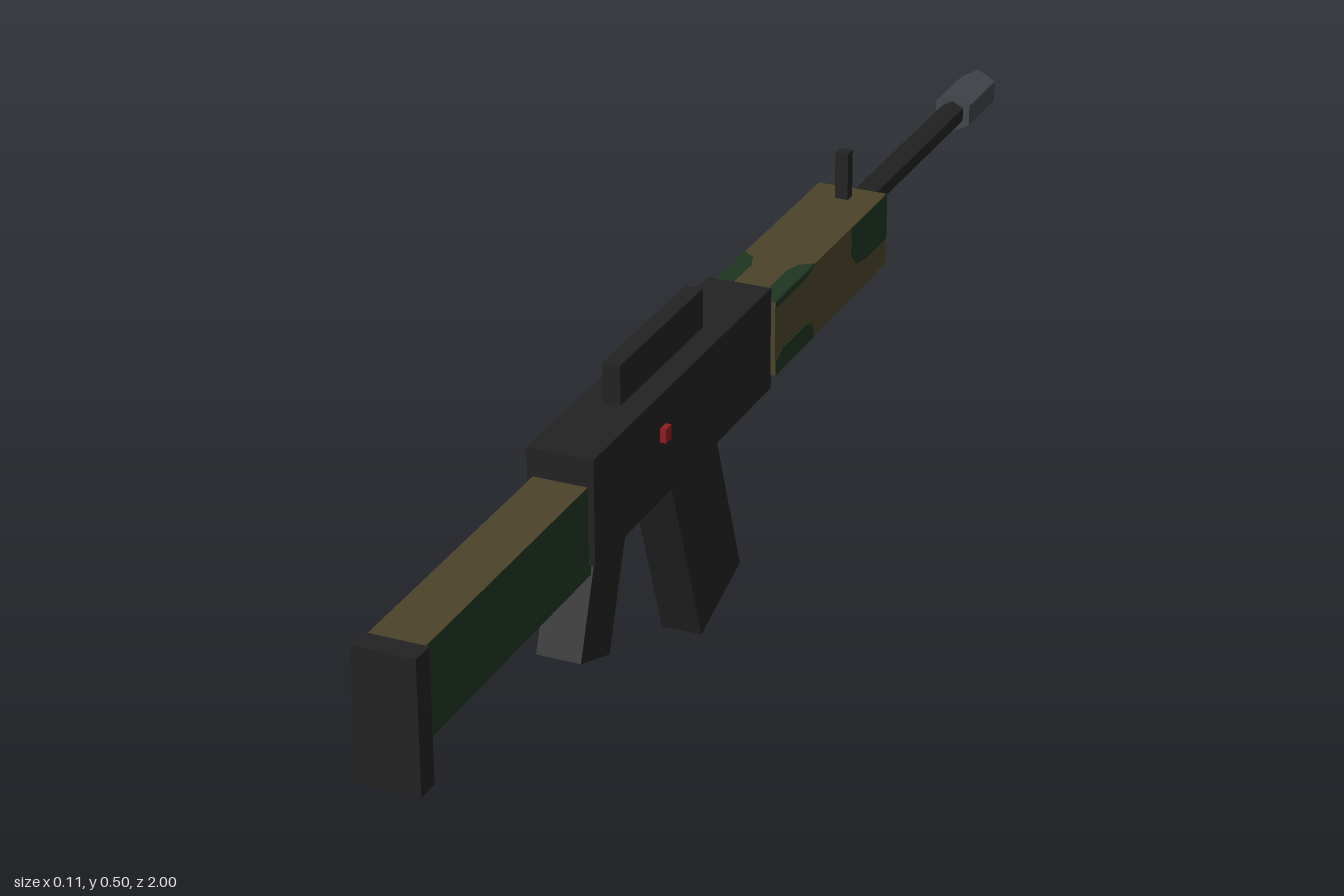
import * as THREE from 'three';

export function createModel() {
  const model = new THREE.Group();
  model.name = 'rifleProp';
  const CX = -0.0015; // centre plane of the body

  const mat = (name, color) => {
    const m = new THREE.MeshStandardMaterial({ color });
    m.name = name;
    return m;
  };
  const black = mat('matte black', 0x222222);
  const steel = mat('steel grey', 0x41454a);
  const olive = mat('olive brown', 0x4b432a);
  const green = mat('forest green', 0x203622);
  const red = mat('button red', 0x8f1c20);

  const add = (name, geometry, material) => {
    const mesh = new THREE.Mesh(geometry, material);
    mesh.name = name;
    model.add(mesh);
    return mesh;
  };

  // Box from its width and its y and z limits
  const box = (name, w, y0, y1, z0, z1, material, x = CX) => {
    const mesh = add(name, new THREE.BoxGeometry(w, y1 - y0, z1 - z0), material);
    mesh.position.set(x, (y0 + y1) / 2, (z0 + z1) / 2);
    return mesh;
  };

  // Slanted box placed by the centre of its lower end
  const slanted = (name, w, length, depth, y, z, tilt) => {
    const g = new THREE.BoxGeometry(w, length, depth).translate(0, length / 2, 0);
    const mesh = add(name, g, black);
    mesh.position.set(CX, y, z);
    mesh.rotation.x = tilt;
  };

  // Six-sided tube along z with a corner at the top
  const hexTube = (name, radius, z0, z1, material) => {
    const g = new THREE.CylinderGeometry(radius, radius, z1 - z0, 6).toNonIndexed();
    g.rotateX(Math.PI / 2);
    g.computeVertexNormals();
    add(name, g, material).position.set(CX, 0.39, (z0 + z1) / 2);
  };

  // Stock, with one green side, and its butt plate
  box('stock', 0.077, 0.278, 0.405, 0.52, 0.968, [green, olive, olive, olive, olive, olive]);
  box('buttPlate', 0.087, 0.218, 0.406, 0.966, 1, black);

  // Body
  box('receiver', 0.094, 0.293, 0.445, -0.047, 0.525, black);
  box('topRail', 0.025, 0.44, 0.502, 0.107, 0.37, black);
  box('button', 0.014, 0.378, 0.398, 0.306, 0.324, red, 0.047);
  slanted('grip', 0.064, 0.22, 0.091, 0.141, 0.498, -0.34);
  slanted('magazine', 0.06, 0.32, 0.142, 0.0237, 0.088, 0.34);

  // Handguard, sight and barrel
  box('handguard', 0.107, 0.313, 0.425, -0.465, -0.046, [olive, olive, olive, green, olive, olive]);
  box('frontSight', 0.02, 0.42, 0.497, -0.438, -0.42, black);
  hexTube('barrel', 0.02, -0.9, -0.46, black);
  hexTube('muzzle', 0.032, -1, -0.885, steel);

  // Thin camouflage patches: points are [z, y] on the sides and [z, x] on top
  const patch = (name, side, points) => {
    const flip = side === 'left' ? 1 : -1;
    const shape = new THREE.Shape(points.map(([z, v]) =>
      side === 'top' ? new THREE.Vector2(v, -z) : new THREE.Vector2(flip * z, v)));
    const g = new THREE.ExtrudeGeometry(shape, { depth: 0.002, bevelEnabled: false });
    if (side === 'top') g.rotateX(-Math.PI / 2).translate(CX, 0.424, 0);
    else g.rotateY(-flip * Math.PI / 2).translate(CX - flip * 0.0525, 0, 0);
    add(name, g, green);
  };
  const rearUpper = [[-0.047, 0.425], [-0.047, 0.416], [-0.15, 0.416], [-0.175, 0.42], [-0.185, 0.425]];
  const rearLower = [[-0.047, 0.313], [-0.047, 0.335], [-0.07, 0.345], [-0.155, 0.345], [-0.18, 0.335], [-0.188, 0.313]];
  const frontUpper = [[-0.325, 0.425], [-0.325, 0.385], [-0.345, 0.362], [-0.38, 0.355], [-0.465, 0.355], [-0.465, 0.425]];
  const frontLower = [[-0.28, 0.313], [-0.295, 0.335], [-0.32, 0.345], [-0.42, 0.345], [-0.445, 0.335], [-0.455, 0.313]];
  patch('camoRightRearUpper', 'right', rearUpper);
  patch('camoRightRearLower', 'right', rearLower);
  patch('camoRightFront', 'right', frontUpper);
  patch('camoLeftRearUpper', 'left', rearUpper);
  patch('camoLeftRearLower', 'left', rearLower);
  patch('camoLeftFront', 'left', frontLower);
  for (const s of [-1, 1]) {
    patch('camoTopEdge', 'top', [[-0.047, s * 0.0535], [-0.047, s * 0.027], [-0.15, s * 0.027],
      [-0.175, s * 0.035], [-0.188, s * 0.0535]]);
  }

  return model;
}
